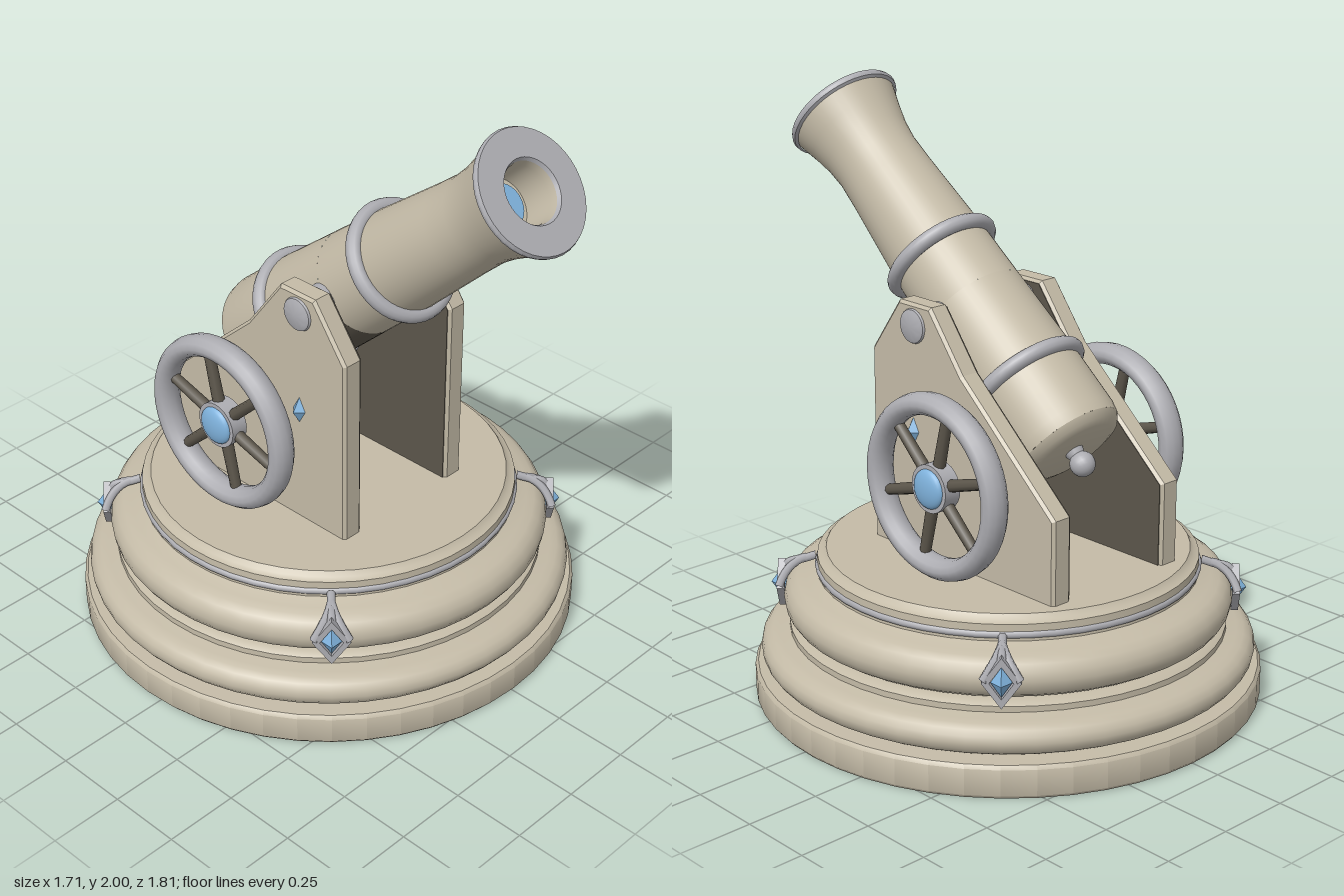
import * as THREE from 'three';
import { toCreasedNormals } from 'three/addons/utils/BufferGeometryUtils.js';

const material = (name, color) => {
  const m = new THREE.MeshStandardMaterial({ color });
  m.name = name;
  return m;
};

export function createModel() {
  const stone = material('sandstone', 0xc4bba7);
  const steel = material('grey metal', 0xadadb2);
  const blue = material('blue crystal', 0x7fb2dc);
  const dark = material('dark timber', 0x5c564b);
  const model = new THREE.Group();
  model.name = 'cannonOnPedestal';

  const add = (parent, name, geometry, mat, x = 0, y = 0, z = 0) => {
    const mesh = new THREE.Mesh(geometry, mat);
    mesh.name = name;
    mesh.position.set(x, y, z);
    parent.add(mesh);
    return mesh;
  };
  const group = (name, x, y, z) => {
    const g = new THREE.Group();
    g.name = name;
    g.position.set(x, y, z);
    model.add(g);
    return g;
  };
  const lathe = (pts, sides = 48, start = 0, length = Math.PI * 2) => toCreasedNormals(
    new THREE.LatheGeometry(pts.map(p => new THREE.Vector2(...p)), sides, start, length), 0.7);
  // Half-round moulding profile, bulging outward from r by depth
  const bulge = (r, depth, y0, y1) => Array.from({ length: 9 }, (_, i) => {
    const a = -Math.PI / 2 + i * Math.PI / 8;
    return [r + depth * Math.cos(a), (y0 + y1) / 2 + (y1 - y0) / 2 * Math.sin(a)];
  });
  const gem = (w, h, d) => toCreasedNormals(new THREE.OctahedronGeometry(1).scale(w, h, d), 0.1);

  // Stepped round pedestal
  const base = group('pedestal', 0, 0, -0.05);
  add(base, 'pedestalBody', lathe([
    [0, 0], [0.845, 0], [0.855, 0.012], [0.855, 0.1], [0.845, 0.112], [0.77, 0.115],
    ...bulge(0.77, 0.062, 0.118, 0.228),
    [0.735, 0.235], [0.735, 0.255], [0.715, 0.268],
    ...bulge(0.68, 0.072, 0.27, 0.415),
    [0.64, 0.43], [0.638, 0.485], [0.62, 0.492], [0.608, 0.508], [0, 0.508],
  ]), stone);
  const trim = new THREE.TorusGeometry(0.634, 0.013, 8, 48).rotateX(Math.PI / 2);
  add(base, 'pedestalTrim', trim, steel, 0, 0.45, 0);

  // Four diamond ornaments on the upper moulding
  const diamond = (w, h, P) => {
    const p = new P();
    p.moveTo(0, -h); p.lineTo(w, 0); p.lineTo(0, h); p.lineTo(-w, 0); p.closePath();
    return p;
  };
  const frameShape = diamond(0.062, 0.085, THREE.Shape);
  frameShape.holes.push(diamond(0.038, 0.054, THREE.Path));
  const frameGeo = new THREE.ExtrudeGeometry(frameShape, { depth: 0.025, bevelEnabled: false });
  const hook = new THREE.CatmullRomCurve3([
    [0, 0.4, 0.765], [0, 0.425, 0.735], [0, 0.435, 0.69], [0, 0.45, 0.645],
  ].map(p => new THREE.Vector3(...p)));
  const hookGeo = new THREE.TubeGeometry(hook, 10, 0.014, 6);
  const armGeo = s => new THREE.TubeGeometry(new THREE.QuadraticBezierCurve3(
    new THREE.Vector3(s * 0.058, 0.355, 0.768),
    new THREE.Vector3(s * 0.012, 0.425, 0.745),
    new THREE.Vector3(0, 0.44, 0.68)), 8, 0.014, 6);
  for (let i = 0; i < 4; i++) {
    const ornament = new THREE.Group();
    ornament.name = 'pedestalOrnament';
    ornament.rotation.y = Math.PI / 4 + i * Math.PI / 2;
    base.add(ornament);
    add(ornament, 'ornamentFrame', frameGeo, steel, 0, 0.35, 0.75);
    add(ornament, 'ornamentGem', gem(0.034, 0.05, 0.035), blue, 0, 0.35, 0.765);
    add(ornament, 'ornamentHook', hookGeo, steel);
    for (const s of [-1, 1]) add(ornament, 'ornamentArm', armGeo(s), steel);
  }

  // Carriage cheeks, with side profile drawn as (z, y)
  const cheekShape = new THREE.Shape([
    [-0.542, 0.5], [0.29, 0.5], [0.29, 1.165], [0.16, 1.345], [0.02, 1.345],
    [-0.125, 1.155], [-0.542, 0.785],
  ].map(p => new THREE.Vector2(...p)));
  const plate = (depth, bevel) => new THREE.ExtrudeGeometry(cheekShape, {
    depth, bevelEnabled: bevel, bevelThickness: 0.01, bevelSize: 0.01, bevelSegments: 1,
  }).translate(0, 0, -depth / 2).rotateY(-Math.PI / 2);
  const cheekGeo = plate(0.058, true);
  const liningGeo = plate(0.004, false);

  for (const s of [-1, 1]) {
    const side = s > 0 ? 'left' : 'right';
    add(model, side + 'Cheek', cheekGeo, stone, s * 0.245, 0, 0);
    add(model, side + 'CheekLining', liningGeo, dark, s * 0.2055, 0, 0);
    // Trunnion pin with softly domed end
    const pin = lathe([
      [0, -0.065], [0.06, -0.065], [0.06, 0.045], [0.055, 0.056], [0.04, 0.062], [0, 0.066],
    ], 24).rotateZ(-s * Math.PI / 2);
    add(model, side + 'Trunnion', pin, steel, s * 0.235, 1.28, 0.095);
    add(model, side + 'CheekGem', gem(0.03, 0.048, 0.027), blue, s * 0.283, 0.925, 0.098);

    // Spoked wheel
    const wheel = group(side + 'Wheel', s * 0.4, 0.825, -0.14);
    const rim = new THREE.TorusGeometry(0.271, 0.037, 12, 48)
      .rotateY(Math.PI / 2).scale(1.28, 1, 1);
    add(wheel, 'wheelRim', rim, steel);
    for (let i = 0; i < 6; i++) {
      const spoke = add(wheel, 'wheelSpoke',
        new THREE.CylinderGeometry(0.018, 0.021, 0.22, 8).translate(0, 0.16, 0), dark);
      spoke.rotation.x = (-73 + 60 * i) * Math.PI / 180;
    }
    const hub = toCreasedNormals(
      new THREE.CylinderGeometry(0.08, 0.08, 0.062, 24).rotateZ(Math.PI / 2), 0.6);
    add(wheel, 'wheelHub', hub, steel);
    const cap = new THREE.SphereGeometry(0.066, 24, 8, 0, Math.PI * 2, 0, Math.PI / 2)
      .scale(1, 0.38, 1).rotateZ(-s * Math.PI / 2);
    add(wheel, 'hubCap', cap, blue, s * 0.03, 0, 0);
  }

  // Barrel, built along y and tilted forward about the trunnions
  const gun = group('barrel', 0, 1.28, 0.095);
  gun.rotation.x = 50 * Math.PI / 180;
  add(gun, 'barrelFront', lathe([
    [0.179, 0.02], [0.172, 0.23], [0.152, 0.55], [0.148, 0.65], [0.155, 0.72],
    [0.17, 0.79], [0.19, 0.865],
  ], 40), stone);
  // Rear half, with a dark underside
  const rear = [[0.187, -0.555], [0.193, -0.52], [0.191, -0.3], [0.179, 0.02]];
  const half = 1.3;
  add(gun, 'barrelRear', lathe(rear, 28, half, 2 * (Math.PI - half)), stone);
  add(gun, 'barrelUnderside', lathe(rear, 20, -half, 2 * half), dark);
  add(gun, 'breech', lathe([[0, -0.588], [0.14, -0.588], [0.17, -0.578], [0.187, -0.555]], 40),
    stone);
  add(gun, 'muzzleRim', lathe([
    [0.19, 0.86], [0.2, 0.866], [0.203, 0.877], [0.198, 0.888], [0.105, 0.888], [0.098, 0.875],
  ], 40), steel);
  add(gun, 'bore', lathe([[0.098, 0.876], [0.094, 0.85], [0.094, 0.74], [0, 0.74]], 40), stone);
  add(gun, 'boreCrystal', new THREE.CylinderGeometry(0.07, 0.07, 0.02, 32), blue, 0, 0.748, 0);
  for (const [y, r] of [[0.23, 0.18], [-0.3, 0.192]]) {
    add(gun, 'barrelBand',
      new THREE.TorusGeometry(r, 0.026, 12, 40).rotateX(Math.PI / 2), steel, 0, y, 0);
  }
  add(gun, 'breechNeck', new THREE.CylinderGeometry(0.035, 0.022, 0.04, 16), steel, 0, -0.6, 0);
  add(gun, 'breechKnob', new THREE.SphereGeometry(0.042, 20, 14), steel, 0, -0.638, 0);

  return model;
}
